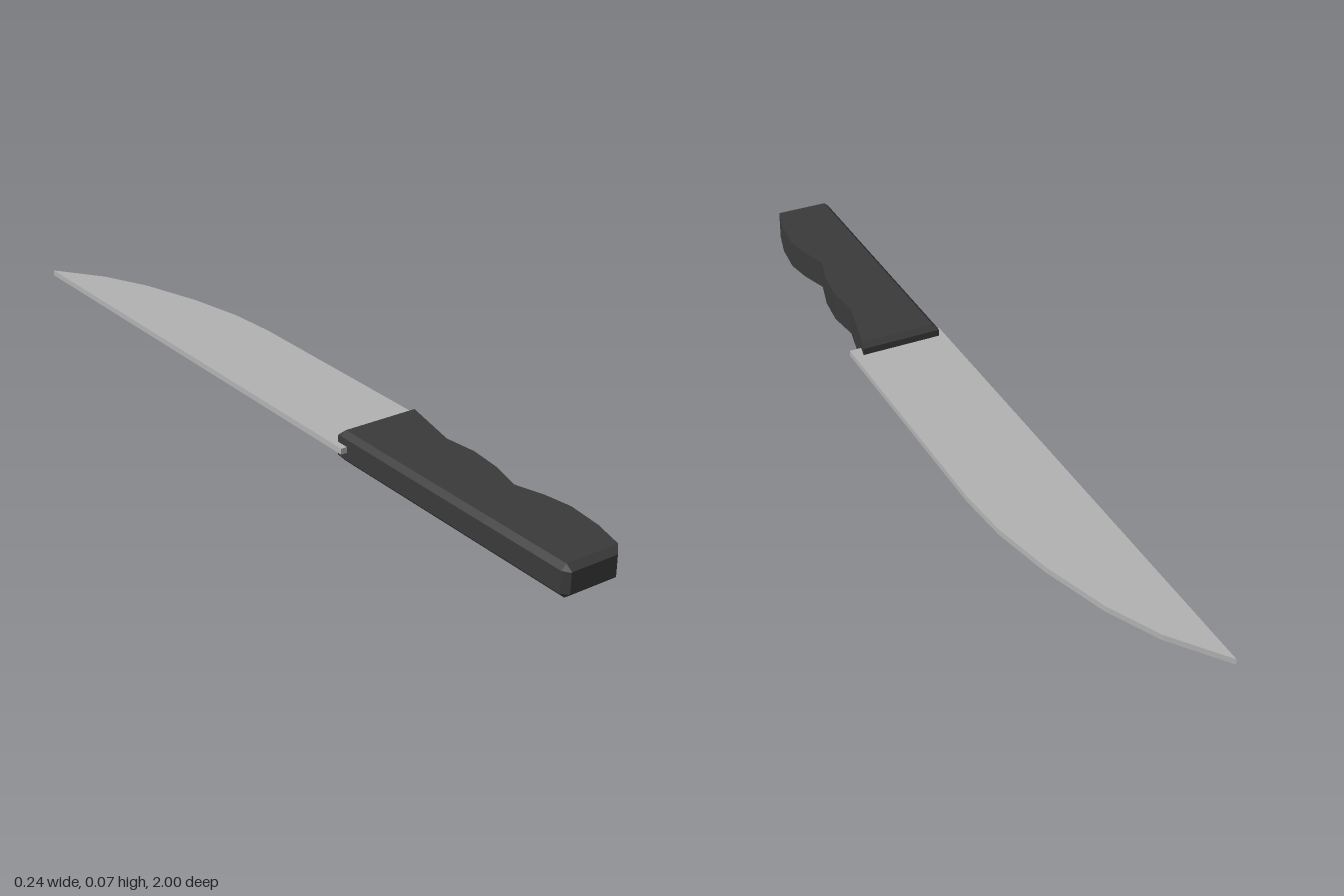
import * as THREE from 'three';

const steel = new THREE.MeshStandardMaterial({ name: 'steel', color: 0xb2b2b2 });
const black = new THREE.MeshStandardMaterial({ name: 'black plastic', color: 0x3a3a3a });

// Blade: straight spine on the right, curved belly on the left
function makeBlade() {
  const outline = [
    [-0.12, 0.315], [0.118, 0.315], [0.118, -0.32], [0.108, -0.45],
    [0.078, -0.6], [0.028, -0.76], [-0.03, -0.88], [-0.12, -1],
  ];
  const shape = new THREE.Shape(outline.map(([x, z]) => new THREE.Vector2(x, -z)));
  const geo = new THREE.ExtrudeGeometry(shape, { depth: 0.014, bevelEnabled: false });
  geo.rotateX(-Math.PI / 2).translate(0, 0.03, 0);
  return new THREE.Mesh(geo, steel);
}

// Handle: chamfered cross-sections lofted along z, with finger grooves on one side
function makeHandle() {
  const H = 0.073, C = 0.012;
  // z, left x, grip x, vertical inset
  const stations = [
    [0.283, -0.105, 0.096, C], [0.295, -0.105, 0.093, 0], [0.45, -0.105, 0.058, 0],
    [0.53, -0.105, 0.067, 0], [0.61, -0.105, 0.058, 0], [0.69, -0.105, 0.036, 0],
    [0.76, -0.105, 0.057, 0], [0.825, -0.105, 0.067, 0], [0.91, -0.105, 0.058, 0],
    [0.985, -0.105, 0.038, 0], [1, -0.093, 0.024, C],
  ];
  const rings = stations.map(([z, l, r, inset]) => {
    const lo = inset, hi = H - inset, c = inset ? 0.001 : C;
    return [[l, lo + c], [l, hi - c], [l + c, hi], [r, hi], [r, lo], [l + c, lo]]
      .map(([x, y]) => [x, y, z]);
  });
  const pos = [];
  const tri = (a, b, c) => pos.push(...a, ...b, ...c);
  for (let i = 0; i < rings.length - 1; i++) {
    for (let j = 0; j < 6; j++) {
      const k = (j + 1) % 6;
      const a = rings[i][j], b = rings[i][k], c = rings[i + 1][k], d = rings[i + 1][j];
      tri(a, d, c);
      tri(a, c, b);
    }
  }
  // End caps
  const first = rings[0], last = rings[rings.length - 1];
  for (let j = 1; j < 5; j++) {
    tri(first[0], first[j], first[j + 1]);
    tri(last[0], last[j + 1], last[j]);
  }
  const geo = new THREE.BufferGeometry();
  geo.setAttribute('position', new THREE.Float32BufferAttribute(pos, 3));
  geo.computeVertexNormals();
  return new THREE.Mesh(geo, black);
}

export function createModel() {
  const group = new THREE.Group();
  group.name = 'knife';
  const blade = makeBlade();
  blade.name = 'blade';
  const handle = makeHandle();
  handle.name = 'handle';
  group.add(blade, handle);
  return group;
}
